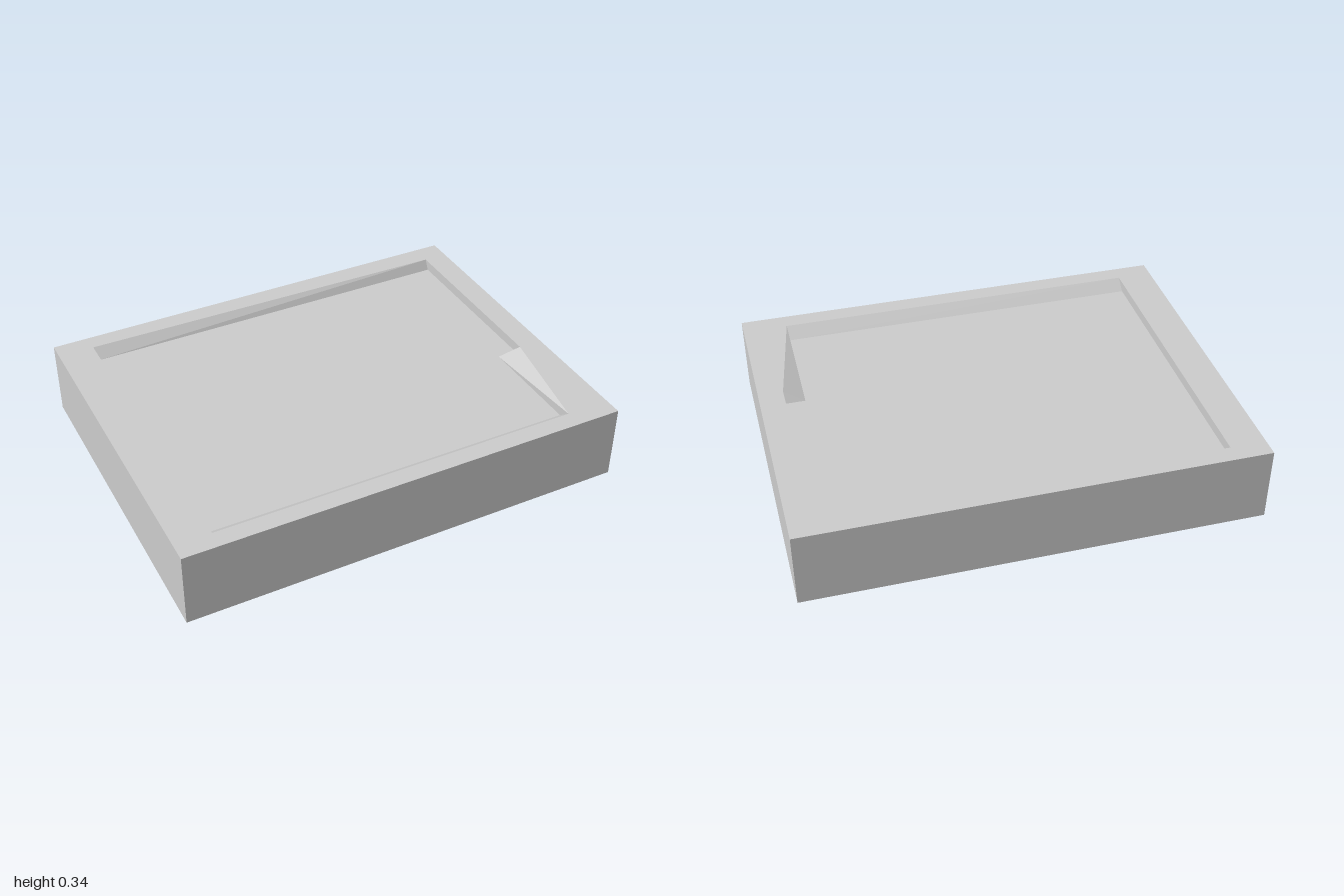
import * as THREE from 'three';

const HEIGHT = 0.34, FLOOR = 0.295, HALF_X = 1, HALF_Z = 0.77;

// Recess outline as matching [x, z] corners at the rim and at the floor.
// The repeated rim corner makes the small triangular step in the left wall.
const RIM = [[-0.84, -0.69], [0.89, -0.67], [0.89, 0.18], [0.89, 0.18], [0.8, 0.69], [-0.84, 0.69]];
const BASE = [[-0.84, -0.645], [0.89, -0.645], [0.89, 0.15], [0.8, 0.15], [0.8, 0.635], [-0.84, 0.635]];

const toPoints = (corners) => corners.map(([x, z]) => new THREE.Vector2(x, -z));

// Flat upward-facing sheet at a given height
function sheet(shape, y) {
  return new THREE.ShapeGeometry(shape).rotateX(-Math.PI / 2).translate(0, y, 0);
}

// Walls joining the floor outline to the rim outline
function wallGeometry() {
  const positions = [];
  const at = (corner, y) => [corner[0], y, corner[1]];
  RIM.forEach((rim, i) => {
    const j = (i + 1) % RIM.length;
    const a = at(BASE[i], FLOOR), b = at(BASE[j], FLOOR);
    const c = at(RIM[j], HEIGHT), d = at(rim, HEIGHT);
    positions.push(...a, ...b, ...c);
    if (rim[0] !== RIM[j][0] || rim[1] !== RIM[j][1]) positions.push(...a, ...c, ...d);
  });
  const geometry = new THREE.BufferGeometry();
  geometry.setAttribute('position', new THREE.Float32BufferAttribute(positions, 3));
  geometry.computeVertexNormals();
  return geometry;
}

// Block without its top face
function blockGeometry() {
  const box = new THREE.BoxGeometry(2 * HALF_X, HEIGHT, 2 * HALF_Z).translate(0, HEIGHT / 2, 0);
  const index = Array.from(box.index.array);
  index.splice(12, 6);
  box.setIndex(index);
  box.clearGroups();
  return box;
}

export function createModel() {
  const group = new THREE.Group();
  group.name = 'shallowTray';
  const material = new THREE.MeshStandardMaterial({ color: 0xcccccc, flatShading: true });
  const add = (name, geometry) => {
    const mesh = new THREE.Mesh(geometry, material);
    mesh.name = name;
    group.add(mesh);
  };

  // Top border around the recess
  const border = new THREE.Shape(toPoints([
    [-HALF_X, HALF_Z], [HALF_X, HALF_Z], [HALF_X, -HALF_Z], [-HALF_X, -HALF_Z],
  ]));
  const opening = RIM.filter((_, i) => i !== 3);
  border.holes.push(new THREE.Path(toPoints(opening)));

  add('block', blockGeometry());
  add('rim', sheet(border, HEIGHT));
  add('recessFloor', sheet(new THREE.Shape(toPoints(BASE)), FLOOR));
  add('recessWalls', wallGeometry());
  return group;
}
